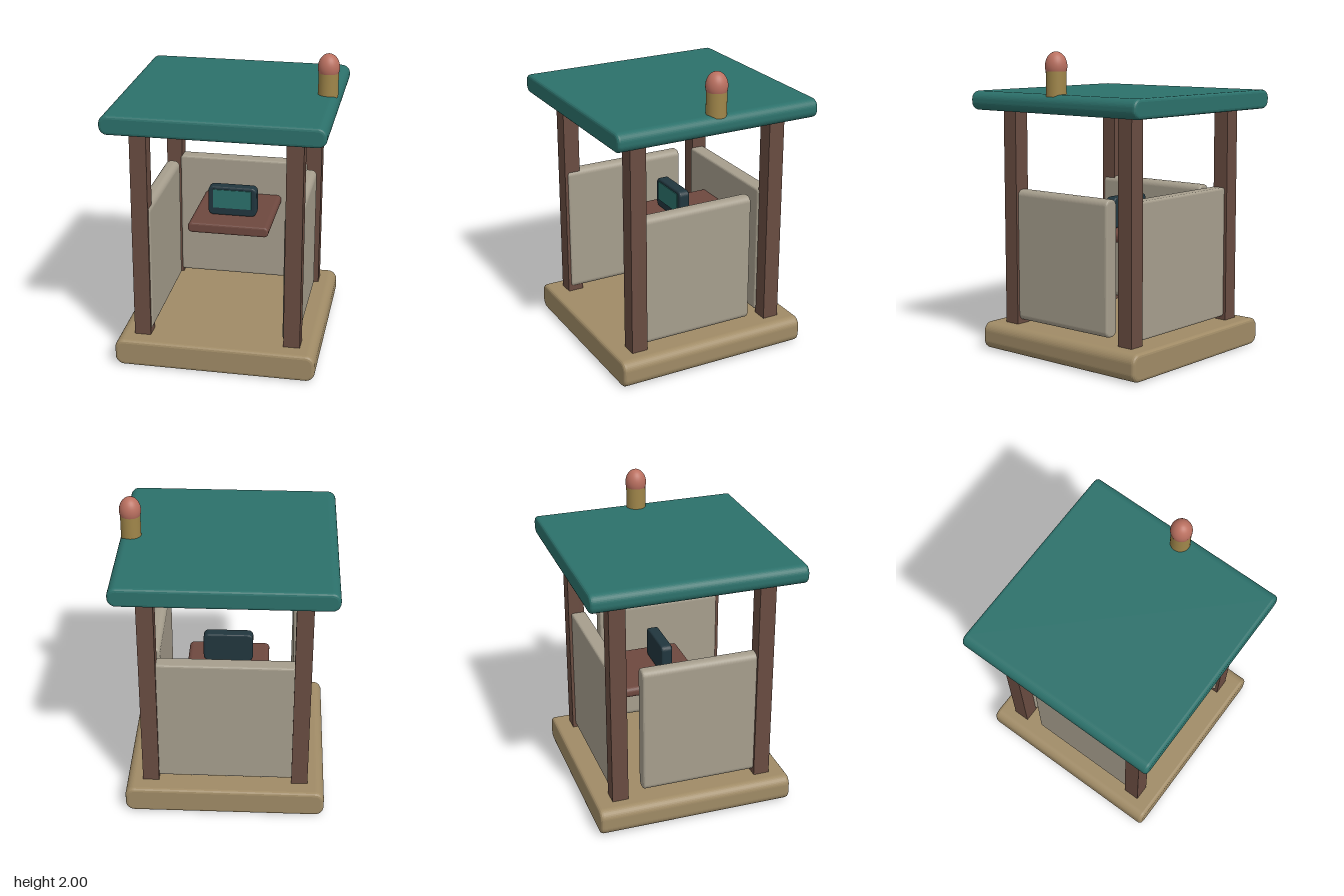
import * as THREE from 'three';

const mat = (name, color) => {
  const m = new THREE.MeshStandardMaterial({ color });
  m.name = name;
  return m;
};

// Rounded rectangle in x/y, extruded along z with a softened rim; centred on the origin
function slab(w, h, d, radius, bevel) {
  const x = w / 2 - bevel, y = h / 2 - bevel;
  const r = Math.max(radius - bevel, 0.002);
  const s = new THREE.Shape();
  s.moveTo(-x + r, -y);
  s.lineTo(x - r, -y);
  s.absarc(x - r, -y + r, r, -Math.PI / 2, 0);
  s.lineTo(x, y - r);
  s.absarc(x - r, y - r, r, 0, Math.PI / 2);
  s.lineTo(-x + r, y);
  s.absarc(-x + r, y - r, r, Math.PI / 2, Math.PI);
  s.lineTo(-x, -y + r);
  s.absarc(-x + r, -y + r, r, Math.PI, Math.PI * 1.5);
  const g = new THREE.ExtrudeGeometry(s, {
    depth: d - 2 * bevel, bevelEnabled: true, bevelSize: bevel,
    bevelThickness: bevel, bevelSegments: 3, curveSegments: 5,
  });
  return g.translate(0, 0, -(d / 2 - bevel));
}

export function createModel() {
  const model = new THREE.Group();
  model.name = 'booth';

  const sand = mat('sand floor', 0xa08b66);
  const teal = mat('teal', 0x2c716b);
  const wood = mat('dark wood', 0x694c41);
  const shelfWood = mat('reddish wood', 0x6e483f);
  const panel = mat('grey beige panel', 0xa69e8d);
  const dark = mat('dark casing', 0x21363e);
  const brass = mat('brass', 0xa0864a);
  const coral = mat('coral lamp', 0xba7060);

  const add = (name, geometry, material, x, y, z) => {
    const mesh = new THREE.Mesh(geometry, material);
    mesh.name = name;
    mesh.position.set(x, y, z);
    model.add(mesh);
    return mesh;
  };

  // Floor and roof
  add('floor', slab(1.32, 0.18, 1.32, 0.06, 0.022), sand, 0, 0.09, 0);
  add('roof', slab(1.4, 0.125, 1.4, 0.055, 0.02), teal, 0, 1.6725, 0);

  // Four corner posts
  const postGeometry = new THREE.BoxGeometry(0.108, 1.63, 0.108);
  for (const x of [-1, 1]) {
    for (const z of [-1, 1]) {
      add('cornerPost', postGeometry, wood, x * 0.495, 0.835, z * 0.495);
    }
  }

  // Back wall, and side walls that leave a gap at the back posts
  add('backWall', slab(0.9, 0.88, 0.1, 0.02, 0.014), panel, 0, 0.645, -0.48);
  const sideGeometry = slab(0.1, 0.88, 0.86, 0.04, 0.015);
  for (const x of [-1, 1]) add('sideWall', sideGeometry, panel, x * 0.481, 0.645, 0.1);

  // Shelf reaching out from the back wall
  add('shelf', slab(0.545, 0.07, 0.6, 0.03, 0.014), shelfWood, 0, 0.8, -0.14);

  // Monitor with a thin screen plate
  add('monitor', slab(0.33, 0.205, 0.075, 0.035, 0.012), dark, 0, 0.938, -0.043);
  add('screen', new THREE.BoxGeometry(0.262, 0.13, 0.008), teal, 0, 0.955, -0.004);

  // Roof lamp
  add('lampBase', new THREE.CylinderGeometry(0.065, 0.065, 0.16, 28), brass, 0.625, 1.8, 0);
  const bulb = add('lampBulb', new THREE.SphereGeometry(0.07, 28, 18), coral, 0.625, 1.91, 0);
  bulb.scale.y = 0.09 / 0.07;

  return model;
}
